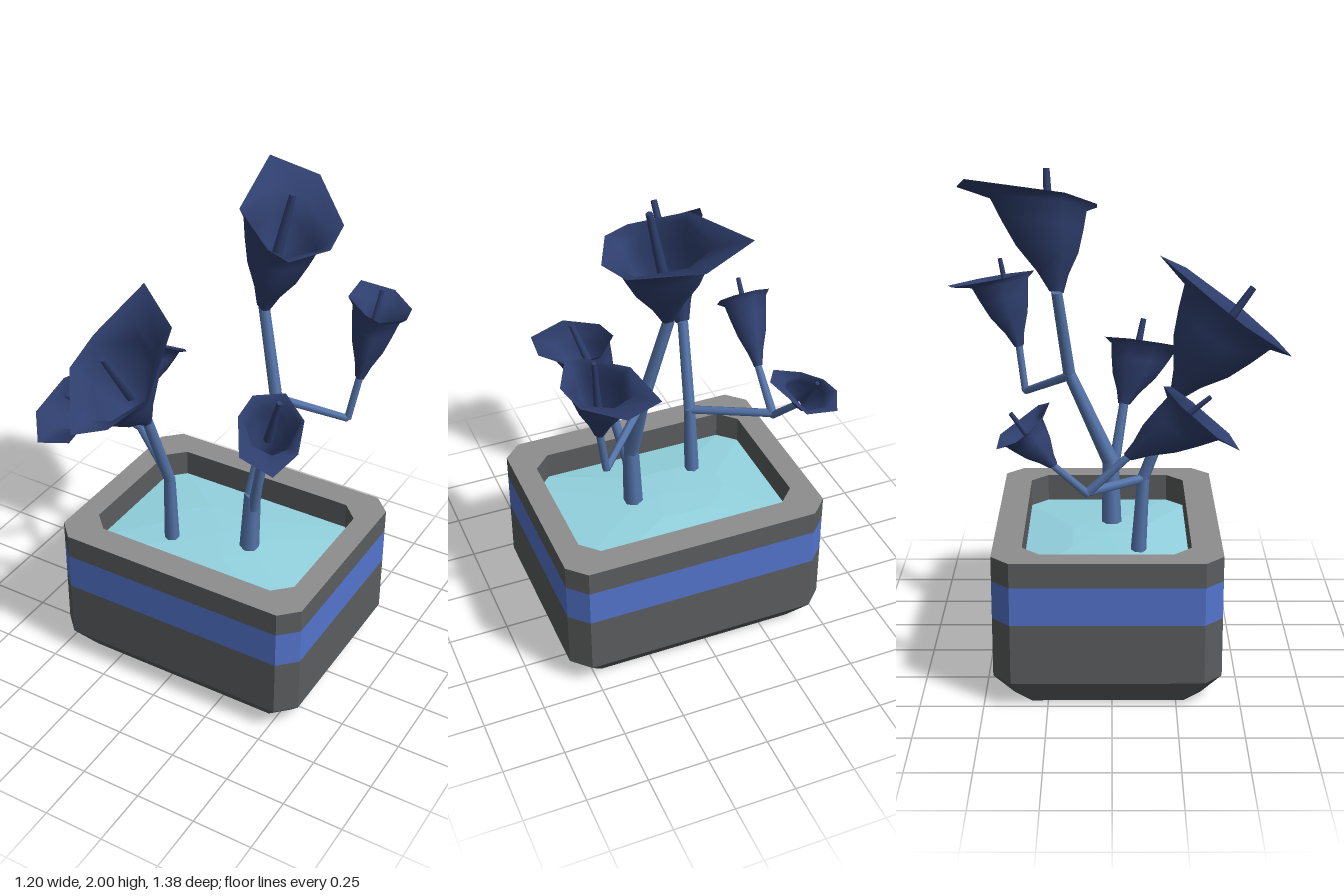
import * as THREE from 'three';

const mat = (name, color, side = THREE.FrontSide) => {
  const m = new THREE.MeshStandardMaterial({ color, side });
  m.name = name;
  return m;
};
const V = (p) => new THREE.Vector3(...p);

// Skin a list of equal-length rings of points
function loft(rings, smooth) {
  const n = rings[0].length, pos = [], idx = [];
  rings.forEach((r) => r.forEach((p) => pos.push(p.x, p.y, p.z)));
  for (let j = 0; j < rings.length - 1; j++)
    for (let i = 0; i < n; i++) {
      const a = j * n + i, b = j * n + (i + 1) % n;
      idx.push(a, b, b + n, a, b + n, a + n);
    }
  let g = new THREE.BufferGeometry();
  g.setAttribute('position', new THREE.Float32BufferAttribute(pos, 3));
  g.setIndex(idx);
  if (!smooth) g = g.toNonIndexed();
  g.computeVertexNormals();
  return g;
}

// Chamfered rectangle at height y
const octagon = (y, x0, x1, z0, z1, c) => [
  [x1, z1 - c], [x1, z0 + c], [x1 - c, z0], [x0 + c, z0],
  [x0, z0 + c], [x0, z1 - c], [x0 + c, z1], [x1 - c, z1],
].map(([x, z]) => new THREE.Vector3(x, y, z));
const outer = (y) => octagon(y, -0.515, 0.6, -0.465, 0.43, 0.072);
const foot = (y) => octagon(y, -0.45, 0.535, -0.385, 0.35, 0.07);
const inner = (y) => octagon(y, -0.42, 0.505, -0.35, 0.31, 0.07);
const point = (x, y, z) => Array.from({ length: 8 }, () => new THREE.Vector3(x, y, z));

// Tapered rod between two points
function rod(a, b, r0, r1) {
  const d = b.clone().sub(a);
  const g = new THREE.CylinderGeometry(r1, r0, d.length(), 6);
  g.applyQuaternion(new THREE.Quaternion().setFromUnitVectors(new THREE.Vector3(0, 1, 0), d.normalize()));
  return g.translate((a.x + b.x) / 2, (a.y + b.y) / 2, (a.z + b.z) / 2);
}

// Stem paths: points, with a radius at each; every path ends in a lily
const STEMS = {
  front: { p: [[-0.145, 0.48, 0.105], [-0.14, 0.82, 0.125], [-0.16, 1.17, 0.25]], r: [0.032, 0.024, 0.022] },
  tall: { p: [[0.165, 0.48, 0], [0.175, 0.78, -0.005], [0.18, 1.16, -0.175], [0.093, 1.52, -0.22]], r: [0.042, 0.034, 0.025, 0.022] },
  back: { p: [[0.18, 1.15, -0.175], [0.41, 1.02, -0.37], [0.44, 1.21, -0.395]], r: [0.018, 0.015, 0.015] },
  right: { p: [[0.18, 0.7, 0], [0.247, 1.01, 0.05]], r: [0.024, 0.019] },
  leftFront: { p: [[-0.14, 0.815, 0.12], [-0.42, 0.86, -0.09], [-0.42, 1.0, 0.06]], r: [0.018, 0.018, 0.015] },
  leftBack: { p: [[-0.42, 0.85, -0.09], [-0.46, 0.98, -0.22]], r: [0.016, 0.014] },
};

// Lily rims: an outline in x,z on a plane through the throat, sloping in x and z
const RIMS = {
  front: { throat: [-0.15, 1.5, 0.47], slope: [0, -0.77],
    rim: [[-0.2, 0.18], [-0.01, 0.29], [0.03, 0.52], [-0.07, 0.64], [-0.2, 0.69], [-0.33, 0.5], [-0.3, 0.38]] },
  tall: { throat: [0.15, 1.89, -0.27], slope: [-0.32, -0.1],
    rim: [[-0.08, -0.56], [0.12, -0.61], [0.33, -0.41], [0.36, -0.24], [0.28, -0.06], [0.19, -0.06], [0, -0.18]] },
  back: { throat: [0.47, 1.505, -0.46], slope: [-0.12, 0.16],
    rim: [[0.3, -0.66], [0.44, -0.69], [0.57, -0.57], [0.6, -0.45], [0.54, -0.33], [0.47, -0.35], [0.34, -0.46]] },
  right: { throat: [0.33, 1.255, 0.12], slope: [-0.32, -0.14],
    rim: [[0.21, 0.07], [0.3, -0.03], [0.42, 0.04], [0.48, 0.2], [0.46, 0.36], [0.32, 0.365], [0.22, 0.2]] },
  leftFront: { throat: [-0.46, 1.185, 0.315], slope: [0, -0.8],
    rim: [[-0.6, 0.38], [-0.53, 0.47], [-0.4, 0.44], [-0.35, 0.3], [-0.37, 0.22], [-0.46, 0.19], [-0.55, 0.25]] },
  leftBack: { throat: [-0.455, 1.12, -0.34], slope: [0.1, 0.55],
    rim: [[-0.565, -0.35], [-0.53, -0.425], [-0.4, -0.42], [-0.305, -0.28], [-0.34, -0.235], [-0.45, -0.26], [-0.53, -0.3]] },
};

// Funnel profile: fraction of the way to the throat, fraction of the throat's radius
const PROFILE = [[0, 0], [0.2, 0.18], [0.45, 0.5], [0.7, 0.7], [0.92, 0.85]];

export function createModel() {
  const model = new THREE.Group();
  const potGrey = mat('potGrey', 0x5a5d5e);
  const rimGrey = mat('rimGrey', 0x8e8e8e);
  const bandBlue = mat('bandBlue', 0x5474cc);
  const waterBlue = mat('waterBlue', 0x93d3e0);
  const stemBlue = mat('stemBlue', 0x5676ac);
  const petalNavy = mat('petalNavy', 0x2f3f6e, THREE.DoubleSide);
  const add = (parent, name, geo, material) => {
    const m = new THREE.Mesh(geo, material);
    m.name = name;
    parent.add(m);
  };

  // Planter: body, stripe, rim, inner wall, and the shallow mounded water
  const planter = new THREE.Group();
  planter.name = 'planter';
  add(planter, 'lowerBody', loft([point(0.04, 0, -0.02), foot(0), outer(0.105), outer(0.35)]), potGrey);
  add(planter, 'stripe', loft([outer(0.35), outer(0.505)]), bandBlue);
  add(planter, 'upperBody', loft([outer(0.505), outer(0.605)]), potGrey);
  add(planter, 'rim', loft([outer(0.605), inner(0.605)]), rimGrey);
  add(planter, 'innerWall', loft([inner(0.605), inner(0.48)]), potGrey);
  add(planter, 'water', loft([inner(0.49), octagon(0.515, -0.22, 0.2, -0.16, 0.13, 0.1), point(0.04, 0.52, -0.02)]), waterBlue);
  model.add(planter);

  for (const [name, { p, r }] of Object.entries(STEMS)) {
    // Stem
    const stem = new THREE.Group();
    stem.name = name + 'Stem';
    for (let i = 0; i < p.length - 1; i++)
      add(stem, 'stemSegment', rod(V(p[i]), V(p[i + 1]), r[i], r[i + 1]), stemBlue);
    model.add(stem);

    // Lily: rounded funnel from the stem's end, flaring to a pointed lip
    const { throat, slope, rim } = RIMS[name];
    const lily = new THREE.Group();
    lily.name = name + 'Lily';
    const start = V(p.at(-1)), centre = V(throat), radius = r.at(-1);
    const lip = rim.map(([x, z]) => {
      const dx = x - throat[0], dz = z - throat[2];
      return new THREE.Vector3(dx, slope[0] * dx + slope[1] * dz, dz);
    }).reverse();
    const shortest = Math.min(...lip.map((e) => e.length()));
    const rings = PROFILE.map(([t, s]) => {
      const c = start.clone().lerp(centre, t);
      return lip.map((e) => e.clone()
        .setLength(s * Math.sqrt(e.length() * shortest) + 1.3 * radius * (1 - s)).add(c));
    });
    rings.push(lip.map((e) => e.clone().add(centre)));
    add(lily, 'petal', loft(rings, true), petalNavy);

    // Spadix, standing square to the rim
    const normal = new THREE.Vector3(-slope[0], 1, -slope[1]).normalize();
    const tip = centre.clone().addScaledVector(normal, 5.2 * radius);
    add(lily, 'spadix', rod(start.clone().lerp(centre, 0.5), tip, radius, radius * 0.6), petalNavy);
    model.add(lily);
  }
  return model;
}
